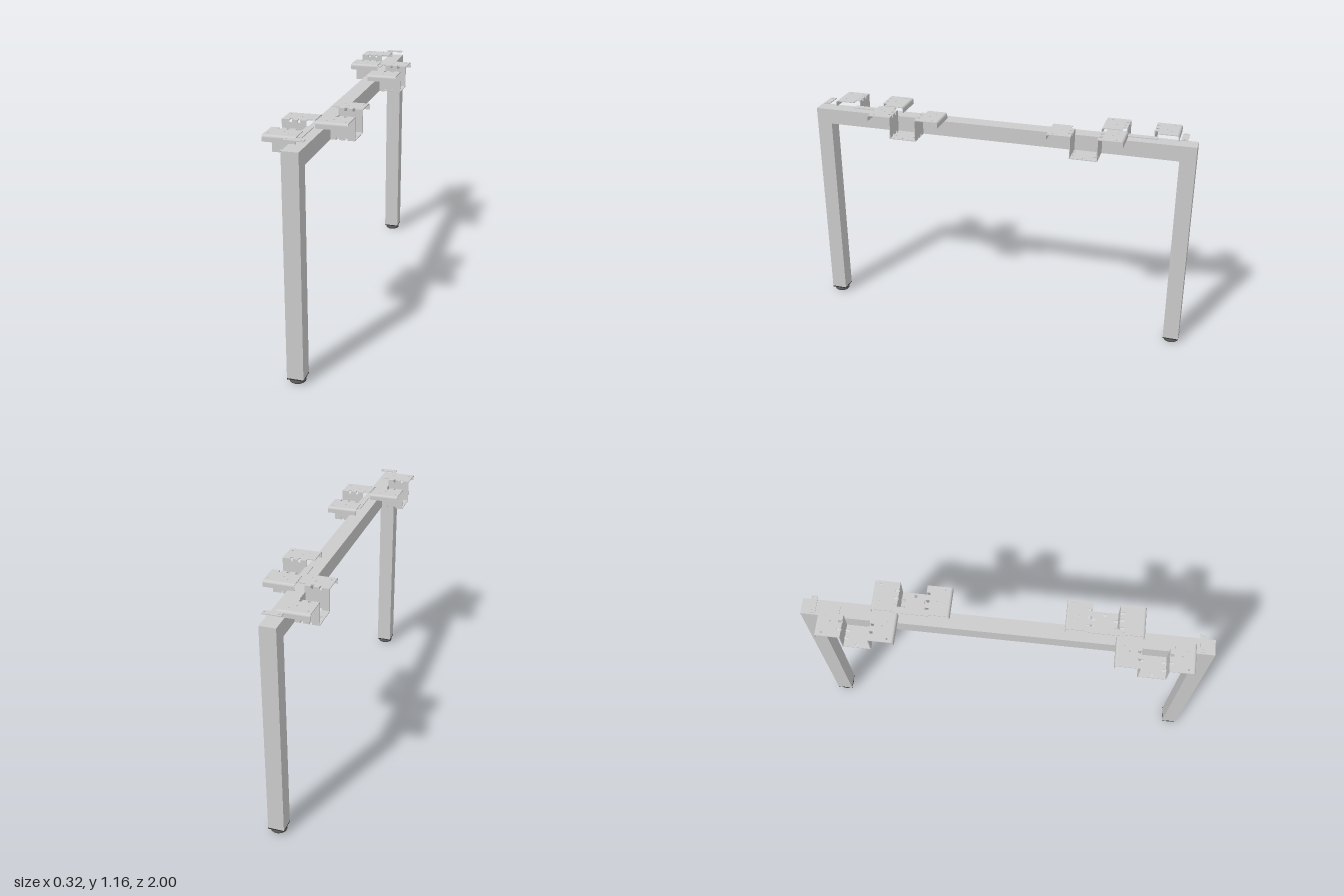
import * as THREE from 'three';

const grey = new THREE.MeshStandardMaterial({ color: 0xcccccc, side: THREE.DoubleSide });
const dark = new THREE.MeshStandardMaterial({ color: 0x555555 });
const black = new THREE.MeshStandardMaterial({ color: 0x333333 });

const T = 0.004;                       // sheet thickness
const TOP = 1.16, LOW = 1.045, BEAM = 1.125;
const IN = 0.004, SIDE = 0.04, OUT = 0.158; // sheet limits in x
const GAP = 0.066, HALF = 0.191;       // half of the channel and of the bracket in z
const SLOTS = [0.075, 0.115], SW = 0.006;

function mesh(name, geometry, material = grey) {
  const m = new THREE.Mesh(geometry, material);
  m.name = name;
  return m;
}

function shapeOf(points, holes = []) {
  const s = new THREE.Shape(points.map(([a, b]) => new THREE.Vector2(a, b)));
  for (const [x, y, r] of holes) s.holes.push(new THREE.Path().absarc(x, y, r, 0, Math.PI * 2, true));
  return s;
}

const extrude = (shape, depth) => new THREE.ExtrudeGeometry(shape, { depth, bevelEnabled: false, curveSegments: 8 });

// Horizontal sheet drawn in (x, z), top face at height y
function flat(points, holes, y) {
  return extrude(shapeOf(points, holes), T).rotateX(Math.PI / 2).translate(0, y, 0);
}

// Edge running along +x at height v, notched by d at each slot
function slotted(v, d) {
  return SLOTS.flatMap(x => [[x - SW, v], [x - SW, v + d], [x + SW, v + d], [x + SW, v]]);
}

// Hat-shaped bracket on the +x side, centred on z = 0
function makeBracket() {
  const g = new THREE.Group();
  g.name = 'bracket';
  const r = 0.012, end = HALF - r;

  // One wing with rounded, turned-down lip, plus its channel wall
  for (const turn of [1, -1]) {
    const wing = flat([
      [SIDE, GAP], ...slotted(GAP, 0.02), [OUT, GAP], [OUT, end], [IN, end], [IN, GAP + 0.022], [SIDE, GAP + 0.022],
    ], [[0.14, 0.158, 0.005], [0.076, 0.125, 0.004], [0.05, 0.15, 0.003]], TOP);

    const lipShape = new THREE.Shape();
    lipShape.moveTo(end, TOP);
    lipShape.absarc(end, TOP - r, r, Math.PI / 2, 0, true);
    lipShape.lineTo(HALF, 1.129);
    lipShape.lineTo(HALF - T, 1.129);
    lipShape.lineTo(HALF - T, TOP - r);
    lipShape.absarc(end, TOP - r, r - T, 0, Math.PI / 2, false);
    // profile (z, y) swept along x
    const lip = extrude(lipShape, OUT - IN).rotateY(-Math.PI / 2).translate(OUT, 0, 0);

    const wall = extrude(shapeOf([
      [SIDE, LOW], ...slotted(LOW, 0.013), [OUT, LOW],
      [OUT, TOP], ...slotted(TOP, -0.013).reverse(), [SIDE, TOP],
    ]), T).translate(0, 0, GAP);

    for (const [name, geo] of [['wing', wing], ['wingLip', lip], ['channelWall', wall]]) {
      const m = mesh(name, geo);
      m.scale.z = turn;
      g.add(m);
    }
  }

  // Channel floor, slotted along both bends
  g.add(mesh('channelFloor', flat([
    [SIDE, -GAP], ...slotted(-GAP, 0.02), [OUT, -GAP],
    [OUT, GAP], ...slotted(GAP, -0.02).reverse(), [SIDE, GAP],
  ], [[0.142, 0, 0.008]], LOW + T)));

  // Back plate against the beam, with the tab that hooks over its top
  const back = new THREE.BoxGeometry(T, BEAM + T - LOW, GAP * 2).translate(SIDE + T / 2, (BEAM + T + LOW) / 2, 0);
  g.add(mesh('backPlate', back));
  g.add(mesh('hookTab', new THREE.BoxGeometry(0.034, T, 0.175).translate(0.027, BEAM + T / 2, 0)));
  return g;
}

// Adjustable foot below a leg
function makeFoot() {
  const g = new THREE.Group();
  g.name = 'foot';
  const profile = [[0, 0], [0.034, 0], [0.039, 0.004], [0.04, 0.009], [0.038, 0.014], [0.03, 0.018], [0.022, 0.019], [0.022, 0.024]]
    .map(([x, y]) => new THREE.Vector2(x, y));
  g.add(mesh('footPad', new THREE.LatheGeometry(profile, 32), dark));
  g.add(mesh('legCap', new THREE.BoxGeometry(0.08, 0.006, 0.08).translate(0, 0.025, 0), black));
  return g;
}

export function createModel() {
  const model = new THREE.Group();
  model.name = 'deskLegFrame';

  // Two legs and the beam as one square tube
  const tube = shapeOf([
    [-1, 0.028], [-0.92, 0.028], [-0.92, LOW], [0.92, LOW],
    [0.92, 0.028], [1, 0.028], [1, BEAM], [-1, BEAM],
  ]);
  model.add(mesh('legFrame', extrude(tube, 0.08).rotateY(-Math.PI / 2).translate(0.04, 0, 0)));

  for (const s of [1, -1]) {
    const foot = makeFoot();
    foot.position.z = s * 0.96;
    model.add(foot);

    // Staggered brackets on either side of the beam
    const leftBracket = makeBracket();
    leftBracket.position.z = s * 0.469;
    const rightBracket = makeBracket();
    rightBracket.rotation.y = Math.PI;
    rightBracket.position.z = s * 0.716;
    model.add(leftBracket, rightBracket);

    // Small fixing plate near the end of the beam
    const plate = mesh('fixingPlate', flat(
      [[-0.045, -0.016], [0.045, -0.016], [0.045, 0.016], [-0.045, 0.016]],
      [[-0.034, 0, 0.005], [0.034, 0, 0.005]], TOP));
    plate.position.z = s * 0.937;
    model.add(plate);
  }
  return model;
}
